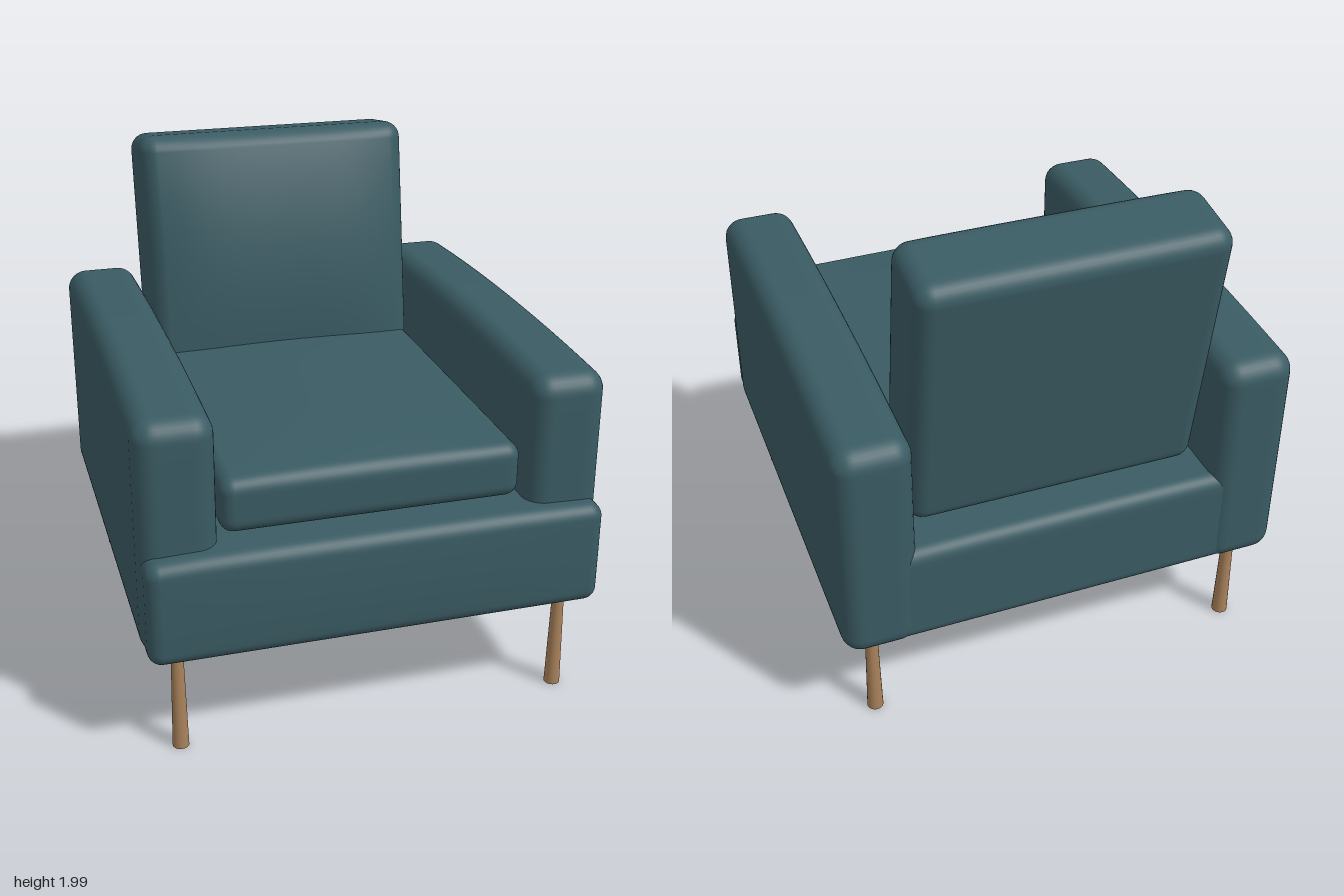
import * as THREE from 'three';
import { mergeVertices } from 'three/addons/utils/BufferGeometryUtils.js';

const N = 20; // grid cells per side
const K = 4;  // cells spent on each rounded edge

// Maps an even grid coordinate (-1..1) so that the rounded edges get a dense, even fan.
function spread(t, half, r) {
  const fromEdge = Math.round((1 - Math.abs(t)) / 2 * N);
  const inner = half - r;
  if (fromEdge < K) return Math.sign(t) * (inner + r * Math.tan(Math.PI / 4 * (K - fromEdge) / K));
  return inner * t / (1 - 2 * K / N);
}

// Soft upholstered block; bulge(u, v, w) returns the padding offset [x, y, z]
// for a point given in unit coordinates of the block.
function cushionGeometry(w, h, d, r, bulge) {
  let geo = new THREE.BoxGeometry(2, 2, 2, N, N, N);
  geo.deleteAttribute('uv');
  geo.deleteAttribute('normal');
  geo = mergeVertices(geo);
  const half = new THREE.Vector3(w / 2, h / 2, d / 2);
  const inner = half.clone().subScalar(r);
  const pos = geo.attributes.position;
  const p = new THREE.Vector3();
  const core = new THREE.Vector3();
  for (let i = 0; i < pos.count; i++) {
    p.fromBufferAttribute(pos, i);
    p.set(spread(p.x, half.x, r), spread(p.y, half.y, r), spread(p.z, half.z, r));
    core.copy(p).clamp(inner.clone().negate(), inner);
    p.sub(core).setLength(r).add(core);
    const [bx, by, bz] = bulge(p.x / half.x, p.y / half.y, p.z / half.z);
    pos.setXYZ(i, p.x + bx, p.y + by, p.z + bz);
  }
  geo.computeVertexNormals();
  return geo;
}

const dome = (t) => 1 - t * t;
const flatDome = (t) => 1 - t * t * t * t;

export function createModel() {
  const chair = new THREE.Group();
  chair.name = 'armchair';
  const fabric = new THREE.MeshStandardMaterial({ color: 0x3a5b63 });
  fabric.name = 'teal fabric';
  const wood = new THREE.MeshStandardMaterial({ color: 0xa9825b });
  wood.name = 'light wood';

  const add = (name, geo, mat, x, y, z) => {
    const mesh = new THREE.Mesh(geo, mat);
    mesh.name = name;
    mesh.position.set(x, y, z);
    chair.add(mesh);
    return mesh;
  };

  // Base, running the full depth and forming the front rail
  add('base', cushionGeometry(1.78, 0.42, 1.89, 0.055, (u, v, w) => [
    0,
    v > 0 ? 0.012 * v * flatDome(u) : 0,
    w > 0 ? 0.01 * w * flatDome(u) * dome(v) : 0,
  ]), fabric, 0, 0.63, 0);

  // Arms with a gently crowned top
  const armGeo = cushionGeometry(0.3, 0.945, 1.825, 0.08, (u, v, w) => [
    0,
    v > 0 ? 0.03 * v * dome(w) : 0,
    0,
  ]);
  for (const side of [-1, 1]) {
    add(side > 0 ? 'leftArm' : 'rightArm', armGeo, fabric, side * 0.75, 0.8825, -0.0425);
  }

  // Seat cushion, padded on top
  add('seatCushion', cushionGeometry(1.17, 0.22, 1.5, 0.055, (u, v, w) => [
    0,
    v > 0 ? 0.03 * v * dome(u) * flatDome(w) : 0,
    0,
  ]), fabric, 0, 0.97, 0.07);

  // Reclined back cushion, padded towards the sitter
  const back = add('backCushion', cushionGeometry(1.17, 1.13, 0.33, 0.07, (u, v, w) => [
    0,
    0,
    w > 0 ? 0.08 * w * flatDome(u) * dome(v) : 0,
  ]), fabric, 0, 1.42, -0.71);
  back.rotation.x = -0.157;

  // Legs, slightly wider at the floor
  const legGeo = new THREE.CylinderGeometry(0.023, 0.032, 0.43, 20);
  for (const x of [-0.77, 0.77]) {
    for (const z of [0.83, -0.825]) {
      add((z > 0 ? 'front' : 'back') + (x > 0 ? 'Left' : 'Right') + 'Leg', legGeo, wood, x, 0.215, z);
    }
  }
  return chair;
}
